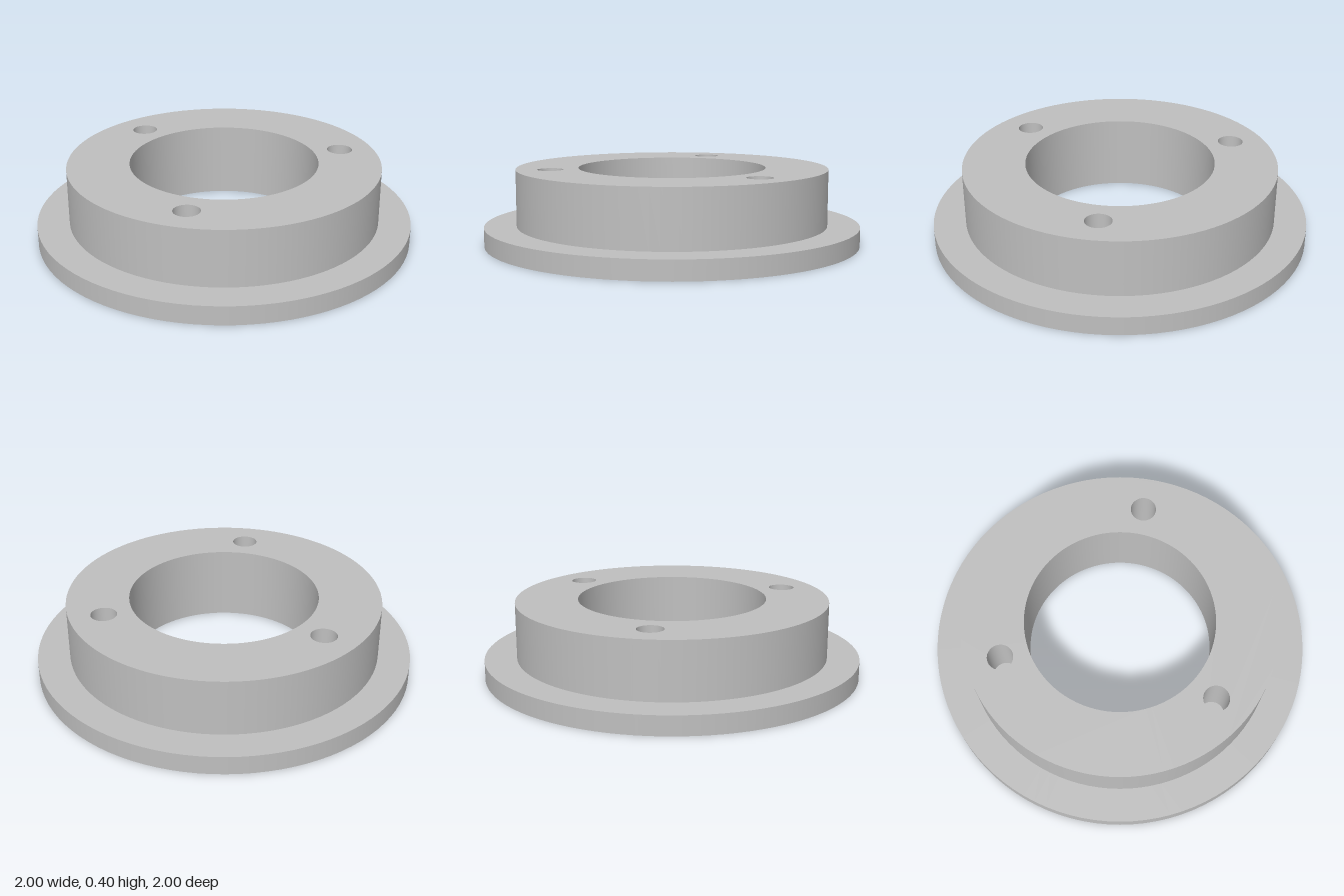
import * as THREE from 'three';

const SEGMENTS = 96;
const BORE_R = 0.5, HUB_R = 0.83, FLANGE_R = 1;
const FLANGE_H = 0.1, TOTAL_H = 0.4;
const HOLE_R = 0.068, HOLE_DEPTH = 0.3, HOLE_CIRCLE = 0.65;

export function createModel() {
  const model = new THREE.Group();
  model.name = 'flangedRing';
  const metal = new THREE.MeshStandardMaterial({ color: 0xbfbfbf });
  metal.name = 'grey metal';

  // One revolved surface between two profile points, so that corners stay sharp
  function addBand(parent, name, r0, y0, r1, y1) {
    const profile = [new THREE.Vector2(r0, y0), new THREE.Vector2(r1, y1)];
    const mesh = new THREE.Mesh(new THREE.LatheGeometry(profile, SEGMENTS), metal);
    mesh.name = name;
    parent.add(mesh);
  }

  // Body: down the bore, out along the base and up the stepped outside
  addBand(model, 'bore', BORE_R, TOTAL_H, BORE_R, 0);
  addBand(model, 'base', BORE_R, 0, FLANGE_R, 0);
  addBand(model, 'flangeRim', FLANGE_R, 0, FLANGE_R, FLANGE_H);
  addBand(model, 'flangeTop', FLANGE_R, FLANGE_H, HUB_R, FLANGE_H);
  addBand(model, 'hubWall', HUB_R, FLANGE_H, HUB_R, TOTAL_H);

  // Hub top, pierced by the bore and three bolt holes
  const top = new THREE.Shape().absarc(0, 0, HUB_R, 0, Math.PI * 2, false);
  const pierce = (x, y, r) =>
    top.holes.push(new THREE.Path().absarc(x, y, r, 0, Math.PI * 2, true));
  pierce(0, 0, BORE_R);

  for (let i = 0; i < 3; i++) {
    const angle = Math.PI / 2 + (i * Math.PI * 2) / 3;
    const x = Math.cos(angle) * HOLE_CIRCLE;
    const y = Math.sin(angle) * HOLE_CIRCLE;
    pierce(x, y, HOLE_R);

    // Blind bolt hole: wall and floor
    const hole = new THREE.Group();
    hole.name = 'boltHole' + (i + 1);
    hole.position.set(x, TOTAL_H, -y);
    addBand(hole, 'holeWall', HOLE_R, 0, HOLE_R, -HOLE_DEPTH);
    addBand(hole, 'holeFloor', HOLE_R, -HOLE_DEPTH, 0, -HOLE_DEPTH);
    model.add(hole);
  }

  const hubTop = new THREE.Mesh(new THREE.ShapeGeometry(top, SEGMENTS / 2), metal);
  hubTop.name = 'hubTop';
  hubTop.rotation.x = -Math.PI / 2;
  hubTop.position.y = TOTAL_H;
  model.add(hubTop);

  return model;
}
